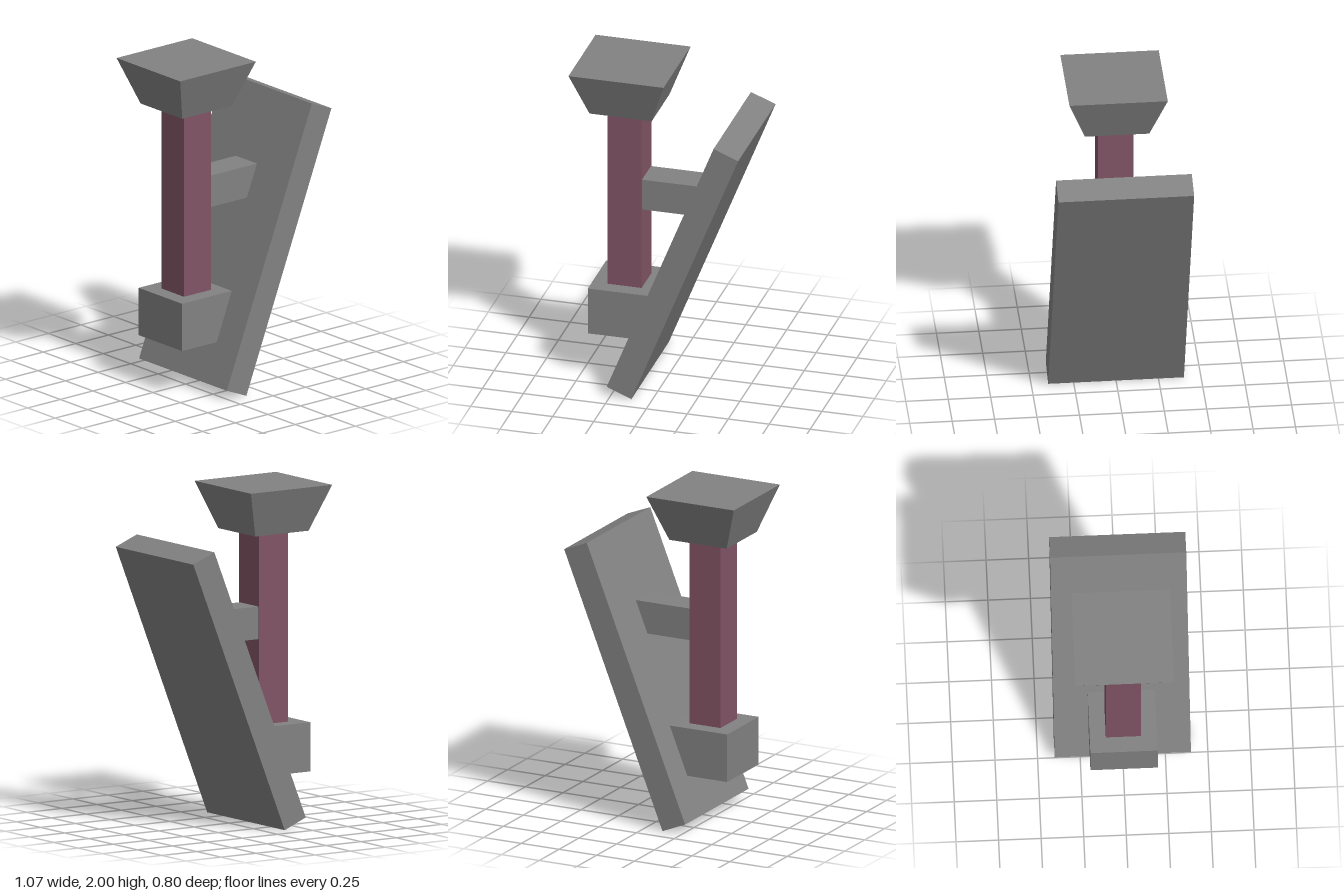
import * as THREE from 'three';

const grey = new THREE.MeshStandardMaterial({ color: 0x828282, flatShading: true });
const rose = new THREE.MeshStandardMaterial({ color: 0x825465, flatShading: true });

// Side profile in x/y, extruded symmetrically along z
function prism(name, points, depth) {
  const shape = new THREE.Shape(points.map(([x, y]) => new THREE.Vector2(x, y)));
  const geometry = new THREE.ExtrudeGeometry(shape, { depth, bevelEnabled: false });
  geometry.translate(0, 0, -depth / 2);
  const mesh = new THREE.Mesh(geometry, grey);
  mesh.name = name;
  return mesh;
}

// x of the leaning panel's inner face at height y
const panelX = (y) => -0.27 + (0.65 * (y - 0.062)) / 1.636;

export function createModel() {
  const group = new THREE.Group();
  group.name = 'postWithLeaningPanel';
  const postX = -0.245;

  // Leaning panel
  group.add(prism('leaningPanel', [[-0.27, 0.062], [-0.12, 0], [0.532, 1.638], [0.382, 1.698]], 0.8));

  // Blocks that end flush on the panel's sloping face
  const attached = (name, x, y0, y1, depth) =>
    group.add(prism(name, [[x, y0], [panelX(y0), y0], [panelX(y1), y1], [x, y1]], depth));
  attached('baseBlock', -0.443, 0.293, 0.585, 0.396);
  attached('bracket', -0.145, 1.093, 1.287, 0.192);

  // Coloured square post
  const post = new THREE.Mesh(new THREE.BoxGeometry(0.207, 1.14, 0.207), rose);
  post.name = 'post';
  post.position.set(postX, 1.155, 0);
  group.add(post);

  // Flared square cap
  const capGeometry = new THREE.CylinderGeometry(0.29 * Math.SQRT2, 0.19 * Math.SQRT2, 0.277, 4);
  capGeometry.rotateY(Math.PI / 4);
  const cap = new THREE.Mesh(capGeometry, grey);
  cap.name = 'flaredCap';
  cap.position.set(postX, 1.8615, 0);
  group.add(cap);

  return group;
}
